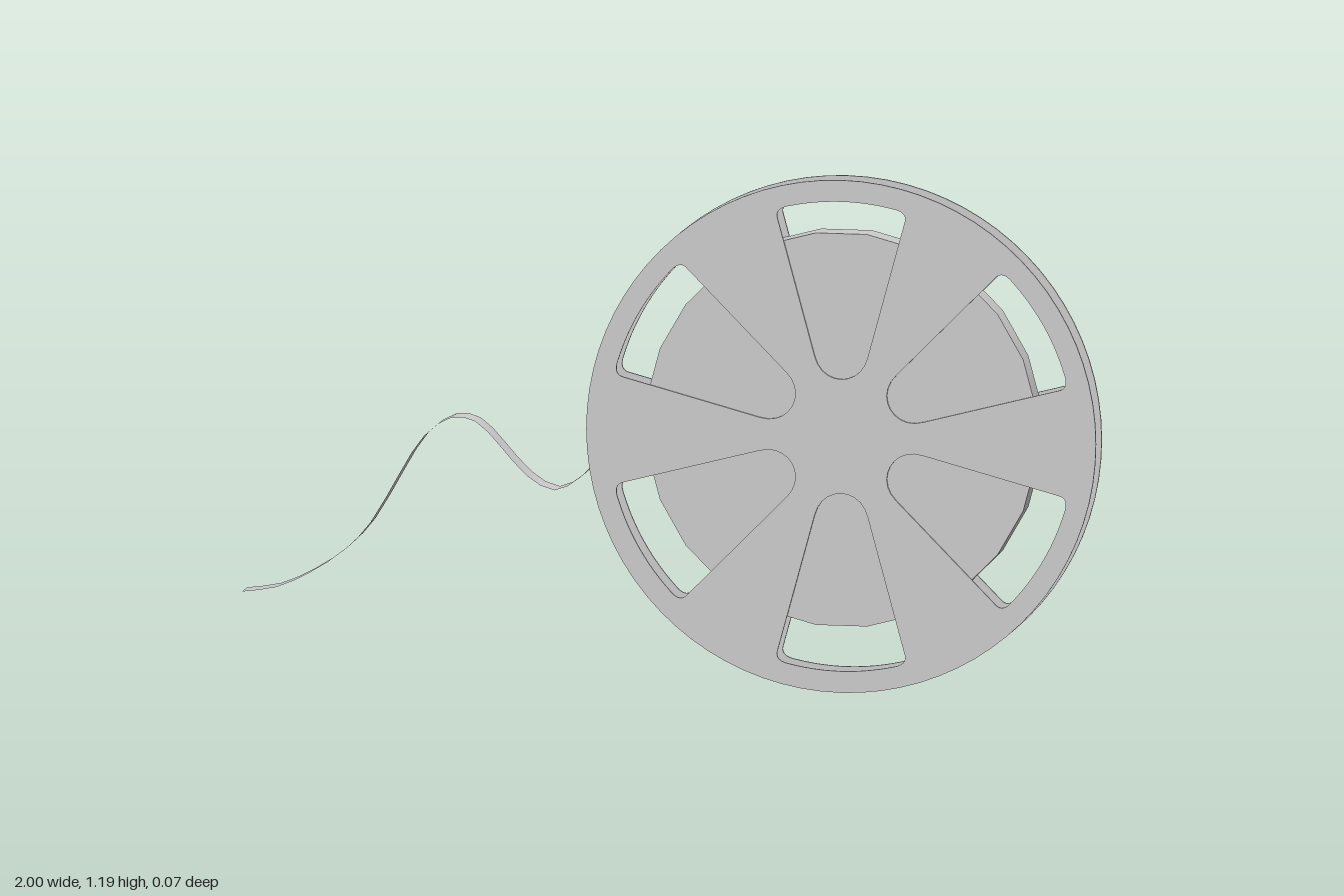
import * as THREE from 'three';

const RADIUS = 0.595, CENTRE_X = 0.4, CENTRE_Y = 0.595;
const grey = new THREE.MeshStandardMaterial({ color: 0xcccccc });
const thinGrey = new THREE.MeshStandardMaterial({ color: 0xcccccc, side: THREE.DoubleSide });

// Outline of one upright window: round at the hub, wide arc near the rim
function windowOutline() {
  const p = new THREE.Path();
  const a = THREE.MathUtils.degToRad(77.5), r = 0.545;
  p.moveTo(-0.062, 0.185);
  p.bezierCurveTo(-0.045, 0.115, 0.045, 0.115, 0.062, 0.185);
  p.lineTo(0.148, 0.5);
  p.quadraticCurveTo(0.157, 0.526, r * Math.cos(a), r * Math.sin(a));
  p.absarc(0, 0, r, a, Math.PI - a, false);
  p.quadraticCurveTo(-0.157, 0.526, -0.148, 0.5);
  p.closePath();
  return p.getPoints(10);
}

// Thin round plate with six windows
function flangeGeometry(thickness) {
  const shape = new THREE.Shape();
  shape.absarc(0, 0, RADIUS, 0, Math.PI * 2, false);
  const outline = windowOutline();
  const origin = new THREE.Vector2();
  for (let i = 0; i < 6; i++) {
    const pts = outline.map(v => v.clone().rotateAround(origin, i * Math.PI / 3));
    shape.holes.push(new THREE.Path(pts));
  }
  const g = new THREE.ExtrudeGeometry(shape, { depth: thickness, bevelEnabled: false, curveSegments: 40 });
  return g.translate(0, 0, -thickness / 2);
}

// Flat ribbon whose centre line follows a curve in the xy plane
function ribbonGeometry(curve, width, segments) {
  const g = new THREE.PlaneGeometry(1, width, segments, 1);
  const pos = g.attributes.position;
  for (let i = 0; i < pos.count; i++) {
    const p = curve.getPoint(pos.getX(i) + 0.5);
    pos.setXYZ(i, p.x, p.y, pos.getY(i));
  }
  g.computeVertexNormals();
  return g;
}

function addMesh(parent, name, geometry, material) {
  const mesh = new THREE.Mesh(geometry, material);
  mesh.name = name;
  parent.add(mesh);
  return mesh;
}

export function createModel() {
  const model = new THREE.Group();
  model.name = 'filmReel';

  const reel = new THREE.Group();
  reel.name = 'reel';
  reel.position.set(CENTRE_X, CENTRE_Y, 0);
  model.add(reel);

  // Front and back plates
  const flange = flangeGeometry(0.005);
  for (const [name, side] of [['frontFlange', 1], ['backFlange', -1]]) {
    addMesh(reel, name, flange, grey).position.z = side * 0.0345;
  }

  // Wound film between the plates, a flat facet on top
  const roll = new THREE.CylinderGeometry(0.459, 0.459, 0.062, 24);
  roll.rotateY(Math.PI / 24).rotateX(Math.PI / 2);
  addMesh(reel, 'woundFilm', roll, grey).position.y = 0.015;

  // Loose end of the film, waving out to the side
  const path = [
    [-1, 0.19], [-0.92, 0.203], [-0.84, 0.24], [-0.76, 0.295], [-0.7, 0.36],
    [-0.63, 0.48], [-0.575, 0.565], [-0.51, 0.61], [-0.455, 0.602], [-0.4, 0.55],
    [-0.335, 0.48], [-0.27, 0.448], [-0.21, 0.48], [-0.15, 0.545], [-0.09, 0.61], [-0.045, 0.7],
  ].map(([x, y]) => new THREE.Vector3(x, y, 0));
  const curve = new THREE.CatmullRomCurve3(path);
  addMesh(model, 'looseFilm', ribbonGeometry(curve, 0.062, 30), thinGrey);

  return model;
}
